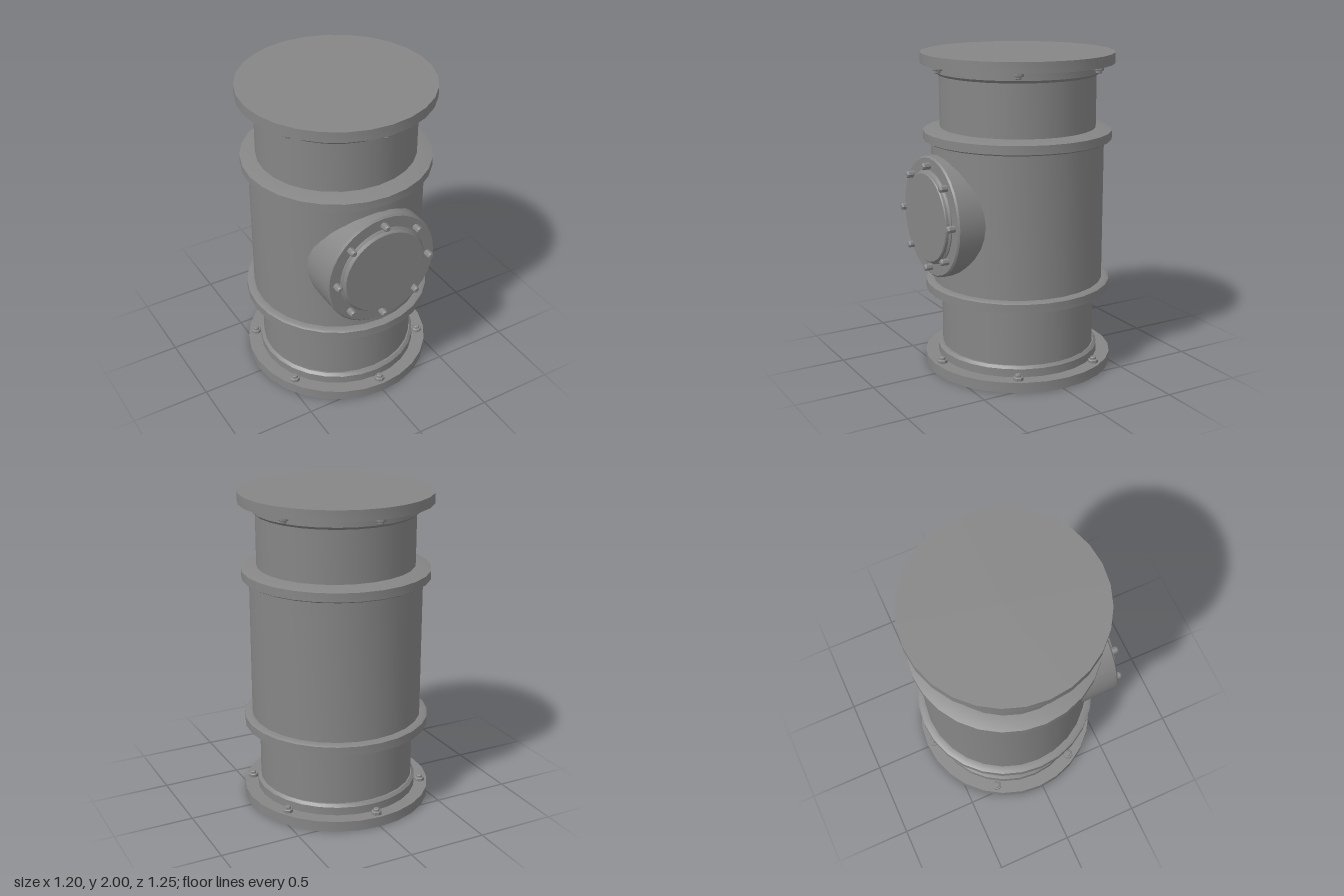
import * as THREE from 'three';
import { toCreasedNormals } from 'three/addons/utils/BufferGeometryUtils.js';

const SIDES = 28;
const AXIS_Z = -0.025; // main axis sits slightly behind the centre
const RING_MID = 1.013; // height the two rings mirror about

const material = new THREE.MeshStandardMaterial({ color: 0x868686 });

// Turned solid from [radius, height] pairs, listed bottom to top
function turned(name, profile, sides = SIDES) {
  const points = profile.map(([r, y]) => new THREE.Vector2(r, y));
  const geometry = toCreasedNormals(new THREE.LatheGeometry(points, sides), Math.PI / 6);
  const mesh = new THREE.Mesh(geometry, material);
  mesh.name = name;
  return mesh;
}

// Same profile turned upside down about a given height
const flipped = (profile, y0) => profile.map(([r, y]) => [r, 2 * y0 - y]).reverse();

const boltProfile = [[0, -0.005], [0.032, -0.005], [0.032, 0.018], [0.028, 0.022], [0.019, 0.022], [0.019, 0.034], [0.015, 0.038], [0, 0.038]];
const studProfile = [[0, -0.02], [0.022, -0.02], [0.022, 0.04], [0.015, 0.05], [0, 0.05]];

// End plate with stepped collar and six bolts, resting on y = 0
function endFlange(top) {
  const group = new THREE.Group();
  group.name = top ? 'topFlange' : 'bottomFlange';
  const shape = (p) => (top ? flipped(p, 1) : p);
  group.add(turned('plate', shape([[0, 0], [0.6, 0], [0.6, 0.066], [0, 0.066]])));
  group.add(turned('collar', shape([[0.46, 0.06], [0.515, 0.06], [0.515, 0.118], [0.498, 0.134], [0.46, 0.134]])));
  for (let i = 0; i < 6; i++) {
    const a = (i * Math.PI) / 3;
    const bolt = turned('flangeBolt', boltProfile, 8);
    bolt.position.set(0.55 * Math.sin(a), top ? 1.934 : 0.066, 0.55 * Math.cos(a));
    if (top) bolt.rotation.x = Math.PI;
    group.add(bolt);
  }
  return group;
}

// Round port on the front: housing, raised cover and a circle of studs
function frontPort() {
  const group = new THREE.Group();
  group.name = 'frontPort';
  group.add(turned('housing', [[0, 0.2], [0.376, 0.2], [0.376, 0.562], [0.366, 0.572], [0, 0.572]], 32));
  group.add(turned('cover', [[0.293, 0.565], [0.293, 0.578], [0.281, 0.588], [0.279, 0.602], [0.273, 0.608], [0, 0.608]], 32));
  for (let i = 0; i < 8; i++) {
    const a = (i * Math.PI) / 4;
    const stud = turned('portStud', studProfile, 8);
    stud.position.set(0.319 * Math.sin(a), 0.572, 0.319 * Math.cos(a));
    group.add(stud);
  }
  group.rotation.x = Math.PI / 2;
  group.position.set(-0.035, 1.018, 0);
  return group;
}

export function createModel() {
  const model = new THREE.Group();
  model.name = 'flangedVessel';

  const column = new THREE.Group();
  column.name = 'column';
  column.position.z = AXIS_Z;

  // Narrow pipe through the full height, slightly shallower than wide
  const pipe = turned('pipe', [[0.495, 0.05], [0.495, 1.95]]);
  pipe.scale.z = 0.977;
  column.add(pipe);

  // Wider middle body
  column.add(turned('body', [[0.46, 0.53], [0.54, 0.53], [0.54, 1.5], [0.46, 1.5]]));

  // Bevelled rings closing the body above and below
  const ring = [[0.53, 1.457], [0.572, 1.457], [0.588, 1.466], [0.588, 1.52], [0.5, 1.54], [0.46, 1.54]];
  column.add(turned('upperRing', ring));
  column.add(turned('lowerRing', flipped(ring, RING_MID)));

  column.add(endFlange(false), endFlange(true));
  model.add(column, frontPort());
  return model;
}
